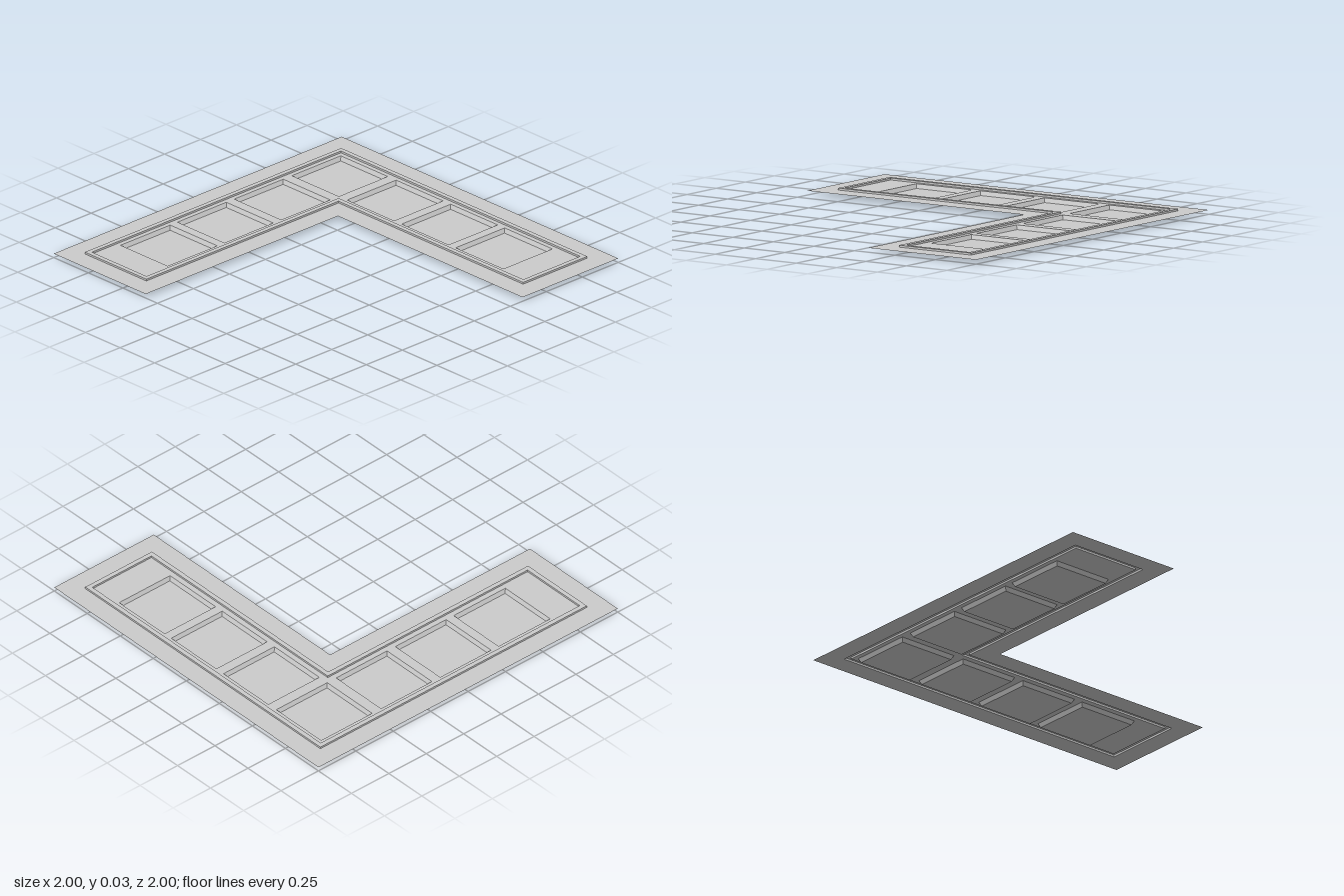
import * as THREE from 'three';

const SHEET = 0.022, RAIL = 0.032, FLOOR = 0;
const mat = new THREE.MeshStandardMaterial({ color: 0xcccccc, side: THREE.DoubleSide });

// L outline as [x, z] corners, inset by d
function lOutline(d) {
  const a = -1 + d, b = 1 - d, c = -0.335 - d;
  return [[a, a], [a, b], [c, b], [c, c], [b, c], [b, a]];
}

// Rectangle outline as [x, z] corners, inset by d
function rectOutline([x0, x1, z0, z1], d) {
  return [[x0 + d, z0 + d], [x0 + d, z1 - d], [x1 - d, z1 - d], [x1 - d, z0 + d]];
}

const toPoints = (loop) => loop.map(([x, z]) => new THREE.Vector2(x, -z));

function addMesh(group, name, geometry) {
  const mesh = new THREE.Mesh(geometry, mat);
  mesh.name = name;
  group.add(mesh);
}

// Flat horizontal face with optional holes
function flat(group, name, loop, holes, y) {
  const shape = new THREE.Shape(toPoints(loop));
  holes.forEach((h) => shape.holes.push(new THREE.Path(toPoints(h))));
  addMesh(group, name, new THREE.ShapeGeometry(shape).rotateX(-Math.PI / 2).translate(0, y, 0));
}

// Band of flat walls joining a lower loop to an upper loop
function walls(group, name, low, yLow, high, yHigh, inward) {
  const pos = [];
  low.forEach((p, i) => {
    const j = (i + 1) % low.length;
    const a = [p[0], yLow, p[1]], b = [low[j][0], yLow, low[j][1]];
    const c = [high[j][0], yHigh, high[j][1]], d = [high[i][0], yHigh, high[i][1]];
    pos.push(...(inward ? [a, c, b, a, d, c] : [a, b, c, a, c, d]).flat());
  });
  const geo = new THREE.BufferGeometry();
  geo.setAttribute('position', new THREE.Float32BufferAttribute(pos, 3));
  geo.computeVertexNormals();
  addMesh(group, name, geo);
}

export function createModel() {
  const model = new THREE.Group();
  model.name = 'corneredPanel';

  // Square trays: one in the corner, three along each arm
  const spans = [[-0.44, -0.1], [-0.045, 0.295], [0.345, 0.69]];
  const side = [-0.84, -0.5];
  const trays = [[...side, ...side]];
  spans.forEach((s) => trays.push([...s, ...side], [...side, ...s]));

  // Border sheet, raised moulding and inner panel
  const outer = lOutline(0.11), inner = lOutline(0.135);
  flat(model, 'border', lOutline(0), [outer], SHEET);
  walls(model, 'mouldingOuterWall', outer, SHEET, outer, RAIL, false);
  flat(model, 'mouldingTop', outer, [inner], RAIL);
  walls(model, 'mouldingInnerWall', inner, SHEET, inner, RAIL, true);
  flat(model, 'innerPanel', inner, trays.map((t) => rectOutline(t, 0)), SHEET);

  // Sunken trays with slightly sloping walls
  trays.forEach((t) => {
    const tray = new THREE.Group();
    tray.name = 'tray';
    const rim = rectOutline(t, 0), base = rectOutline(t, 0.01);
    walls(tray, 'trayWalls', base, FLOOR, rim, SHEET, true);
    flat(tray, 'trayFloor', base, [], FLOOR);
    model.add(tray);
  });
  return model;
}
